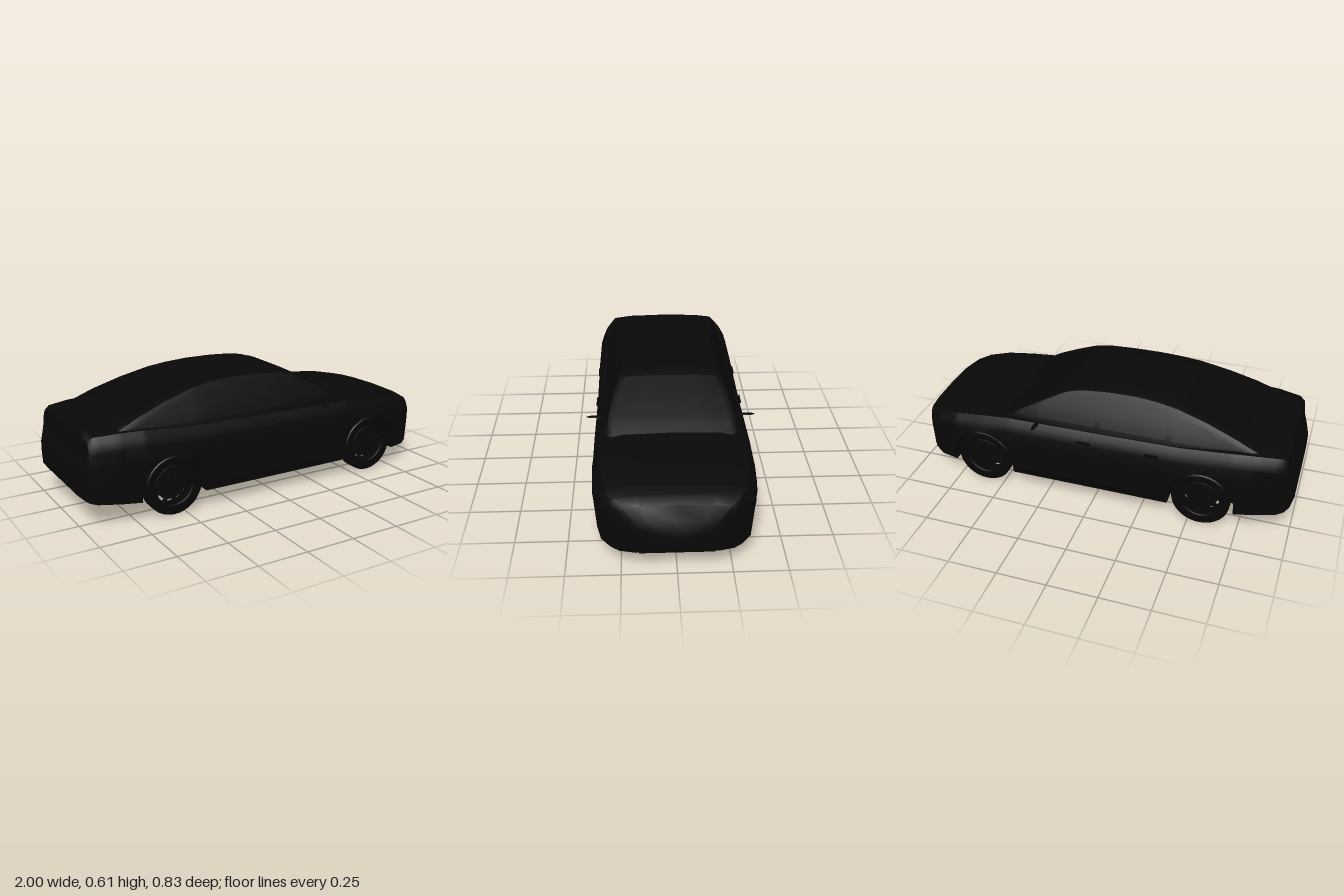
import * as THREE from 'three';
import { toCreasedNormals } from 'three/addons/utils/BufferGeometryUtils.js';

const material = (name, color) => Object.assign(new THREE.MeshStandardMaterial({ color, side: THREE.DoubleSide }), { name });
const paint = material('blackPaint', 0x080808);
const glass = material('darkGlass', 0x070707);
const rubber = material('rubber', 0x060606);

const WHEELS = [0.6, -0.56], ARCH = 0.165, AXLE = 0.147;

// Piecewise lookup: each row is [x, value, value...]
function lookup(rows, x, k) {
  if (x <= rows[0][0]) return rows[0][k];
  for (let i = 1; i < rows.length; i++) {
    const a = rows[i - 1], b = rows[i];
    if (x <= b[0]) return a[k] + (b[k] - a[k]) * (x - a[0]) / (b[0] - a[0]);
  }
  return rows[rows.length - 1][k];
}

// x, half width, lower edge, deck height
const BODY = [
  [-1, 0.235, 0.17, 0.275], [-0.985, 0.285, 0.14, 0.305], [-0.965, 0.31, 0.125, 0.36], [-0.955, 0.317, 0.122, 0.43],
  [-0.93, 0.33, 0.115, 0.448], [-0.82, 0.358, 0.105, 0.455], [-0.7, 0.376, 0.095, 0.455], [-0.45, 0.38, 0.09, 0.435],
  [0, 0.378, 0.088, 0.425], [0.45, 0.382, 0.09, 0.422], [0.6, 0.381, 0.09, 0.41], [0.75, 0.377, 0.095, 0.392],
  [0.86, 0.352, 0.095, 0.371], [0.92, 0.305, 0.095, 0.353], [0.95, 0.265, 0.095, 0.335], [0.98, 0.19, 0.105, 0.265],
  [1, 0.09, 0.14, 0.225],
];
// x, roof height, width scale
const ROOF = [
  [-0.82, 0.445, 0.93], [-0.7, 0.495, 0.96], [-0.55, 0.545, 0.98], [-0.4, 0.583, 1], [-0.3, 0.597, 1], [-0.2, 0.604, 1],
  [-0.05, 0.603, 1], [0.1, 0.592, 1], [0.18, 0.572, 1], [0.3, 0.513, 1], [0.42, 0.452, 0.98], [0.5, 0.405, 0.95],
];

// Side profile: fraction of height, fraction of half width
const SIDE = [[0, 0.965], [0.25, 0.98], [0.6, 1], [0.8, 0.985], [0.92, 0.95], [1, 0.89]];

function bodySection(x, archY) {
  const w = lookup(BODY, x, 1), low = lookup(BODY, x, 2), top = lookup(BODY, x, 3);
  const h = top - 0.018 - low, edge = Math.max(low, archY), inner = Math.min(0.27, w * 0.8);
  const floor = low - 0.004;
  return [
    [0, floor], [inner, floor], [inner, edge],
    ...SIDE.map(([f, s]) => [w * s, Math.max(edge, low + h * f)]),
    [w * 0.6, top - 0.005], [0, top],
  ];
}

// Outer side of the body at a given height
function bodyZ(x, y) {
  const low = lookup(BODY, x, 2), h = lookup(BODY, x, 3) - 0.018 - low;
  return lookup(BODY, x, 1) * lookup(SIDE, (y - low) / h, 1);
}

const cabinZ = (x, y) => lookup(ROOF, x, 2) * (0.335 - 0.095 * Math.pow(Math.max(0, (y - 0.41) / 0.175), 1.22));

function cabinSection(x) {
  const top = lookup(ROOF, x, 1), base = Math.min(0.4, top - 0.03), points = [];
  for (let i = 0; i <= 5; i++) {
    const y = base + (top - 0.024 - base) * i / 5;
    points.push([cabinZ(x, y), y]);
  }
  const w = points[5][0];
  return [[0, base], ...points, [w * 0.96, top - 0.01], [w * 0.88, top - 0.004], [w * 0.5, top], [0, top + 0.002]];
}

// Joins mirrored half sections along x and closes both ends
function loft(stations) {
  const pos = [];
  const rings = stations.map(({ x, half }) => [
    ...half.map(([z, y]) => [x, y, z]),
    ...half.slice(1, -1).reverse().map(([z, y]) => [x, y, -z]),
  ]);
  const n = rings[0].length;
  for (let i = 0; i < rings.length - 1; i++) for (let j = 0; j < n; j++) {
    const k = (j + 1) % n, a = rings[i][j], b = rings[i + 1][j], c = rings[i + 1][k], d = rings[i][k];
    pos.push(...a, ...b, ...c, ...a, ...c, ...d);
  }
  [rings[0], rings[rings.length - 1]].forEach((ring, end) => {
    const mid = [ring[0][0], (ring[0][1] + ring[n / 2][1]) / 2, 0];
    for (let j = 0; j < n; j++) {
      const k = (j + 1) % n;
      pos.push(...mid, ...ring[end ? k : j], ...ring[end ? j : k]);
    }
  });
  const g = new THREE.BufferGeometry();
  g.setAttribute('position', new THREE.Float32BufferAttribute(pos, 3));
  return toCreasedNormals(g, 0.6);
}

// Thin curved plate from a rule of u and v
function plate(rule, nu = 10, nv = 5) {
  const g = new THREE.PlaneGeometry(1, 1, nu, nv), p = g.attributes.position;
  for (let i = 0; i < p.count; i++) p.setXYZ(i, ...rule(p.getX(i) + 0.5, p.getY(i) + 0.5));
  g.computeVertexNormals();
  return g;
}

function add(parent, name, geometry, mat, x = 0, y = 0, z = 0) {
  const mesh = new THREE.Mesh(geometry, mat);
  mesh.name = name;
  mesh.position.set(x, y, z);
  parent.add(mesh);
  return mesh;
}

function makeWheel() {
  const wheel = new THREE.Group();
  const profile = [[0.1, -0.034], [0.125, -0.038], [0.142, -0.036], [AXLE, -0.03], [AXLE, 0.03], [0.142, 0.036],
    [0.125, 0.038], [0.1, 0.034], [0.096, 0], [0.1, -0.034]].map(p => new THREE.Vector2(...p));
  add(wheel, 'tyre', toCreasedNormals(new THREE.LatheGeometry(profile, 40), 0.6).rotateX(Math.PI / 2), rubber);
  add(wheel, 'rimEdge', new THREE.TorusGeometry(0.1, 0.006, 8, 40), paint, 0, 0, 0.03);
  add(wheel, 'brakeDisc', new THREE.CylinderGeometry(0.08, 0.08, 0.012, 32).rotateX(Math.PI / 2), paint, 0, 0, -0.012);
  add(wheel, 'hub', new THREE.CylinderGeometry(0.022, 0.026, 0.05, 20).rotateX(Math.PI / 2), paint, 0, 0, 0.005);
  for (let i = 0; i < 10; i++) {
    const spoke = new THREE.BoxGeometry(0.016, 0.085, 0.012).translate(0, 0.056, 0.022);
    add(wheel, 'spoke', spoke.rotateZ(i * Math.PI / 5), paint);
  }
  return wheel;
}

export function createModel() {
  const car = new THREE.Group();
  car.name = 'car';

  // Lower body with arches opened over the wheels
  const stations = [];
  for (let i = 0; i <= 40; i++) stations.push([-1 + i / 20, 0]);
  BODY.forEach(r => stations.push([r[0], 0]));
  const open = stations.filter(([x]) => WHEELS.every(c => Math.abs(x - c) > ARCH + 0.002));
  for (const c of WHEELS) {
    open.push([c - ARCH - 0.0005, 0], [c + ARCH + 0.0005, 0]);
    for (let i = 0; i <= 20; i++) {
      const a = Math.PI * i / 20;
      open.push([c - ARCH * Math.cos(a), AXLE + ARCH * Math.sin(a)]);
    }
  }
  open.sort((a, b) => a[0] - b[0]);
  add(car, 'body', loft(open.map(([x, y]) => ({ x, half: bodySection(x, y) }))), paint);

  // Cabin and roof
  const cabin = [];
  for (let i = 0; i <= 44; i++) {
    const x = -0.82 + 1.32 * i / 44;
    cabin.push({ x, half: cabinSection(x) });
  }
  add(car, 'cabin', loft(cabin), paint);

  // Windscreen and rear window
  const screen = (x0, x1) => plate((u, v) => {
    const x = x0 + (x1 - x0) * u, top = lookup(ROOF, x, 1), w = cabinZ(x, top - 0.024), s = v * 2 - 1;
    const y = top + 0.004 - 0.006 * Math.max(0, (Math.abs(s) * 0.86 - 0.5) / 0.38);
    return [x, y, w * 0.86 * s];
  }, 10, 12);
  add(car, 'windscreen', screen(0.18, 0.46), glass);
  add(car, 'rearWindow', screen(-0.74, -0.42), glass);

  for (const s of [1, -1]) {
    const side = s > 0 ? 'left' : 'right';
    // Side windows, split by pillars
    for (const [x0, x1] of [[0, 0.3], [-0.36, -0.03], [-0.58, -0.39]]) {
      add(car, side + 'Window', plate((u, v) => {
        const x = x0 + (x1 - x0) * u, y = 0.437 + (lookup(ROOF, x, 1) - 0.035 - 0.437) * v;
        return [x, y, s * (cabinZ(x, y) + 0.003)];
      }), glass);
    }
    // Lamps wrapped around the corners, door seams and sill
    const onBody = (name, x0, x1, y0, y1, mat) => add(car, side + name, plate((u, v) => {
      const x = x0 + (x1 - x0) * u, y = y0 + (y1 - y0) * v;
      return [x, y, s * (bodyZ(x, y) + 0.002)];
    }), mat);
    onBody('Headlamp', 0.81, 0.945, 0.255, 0.295, glass);
    onBody('TailLamp', -0.95, -0.8, 0.32, 0.375, glass);
    for (const x of [0.37, -0.02, -0.38]) onBody('DoorSeam', x, x + 0.004, 0.32, 0.4, rubber);
    onBody('SillTrim', -0.38, 0.42, 0.1, 0.125, rubber);
    for (const x of [0.04, -0.31]) add(car, side + 'DoorHandle', new THREE.BoxGeometry(0.07, 0.012, 0.008), paint, x, 0.36, s * 0.372);

    // Blade-thin mirror
    add(car, side + 'Mirror', new THREE.SphereGeometry(1, 14, 10).scale(0.013, 0.003, 0.045), paint, 0.295, 0.411, s * 0.372);

    // Wheels, suspension arms and exhausts
    for (const x of WHEELS) {
      const end = x > 0 ? 'Front' : 'Rear';
      const wheel = makeWheel();
      wheel.name = side + end + 'Wheel';
      wheel.position.set(x, AXLE, s * 0.325);
      if (s < 0) wheel.rotation.y = Math.PI;
      car.add(wheel);
      const arm = add(car, side + end + 'SuspensionArm', new THREE.BoxGeometry(0.05, 0.006, 0.17), rubber, x, 0.068, s * 0.19);
      arm.rotation.x = s * 0.07;
    }
    add(car, side + 'Exhaust', new THREE.BoxGeometry(0.08, 0.025, 0.06), paint, -0.86, 0.108, s * 0.2);
  }

  // Axles, subframe, grille, bumper lip and rear panel
  for (const x of WHEELS) add(car, 'axle', new THREE.CylinderGeometry(0.014, 0.014, 0.62, 12).rotateX(Math.PI / 2), rubber, x, AXLE, 0);
  add(car, 'frontSubframe', new THREE.BoxGeometry(0.2, 0.03, 0.17), rubber, 0.6, 0.073, 0);
  for (let i = 0; i < 3; i++) add(car, 'grilleBar', new THREE.BoxGeometry(0.008, 0.008, 0.15), glass, 0.996, 0.16 + i * 0.022, 0);
  add(car, 'frontLip', new THREE.BoxGeometry(0.05, 0.012, 0.34), paint, 0.94, 0.095, 0);
  add(car, 'rearPanel', new THREE.BoxGeometry(0.006, 0.05, 0.2), glass, -0.997, 0.23, 0);
  return car;
}
